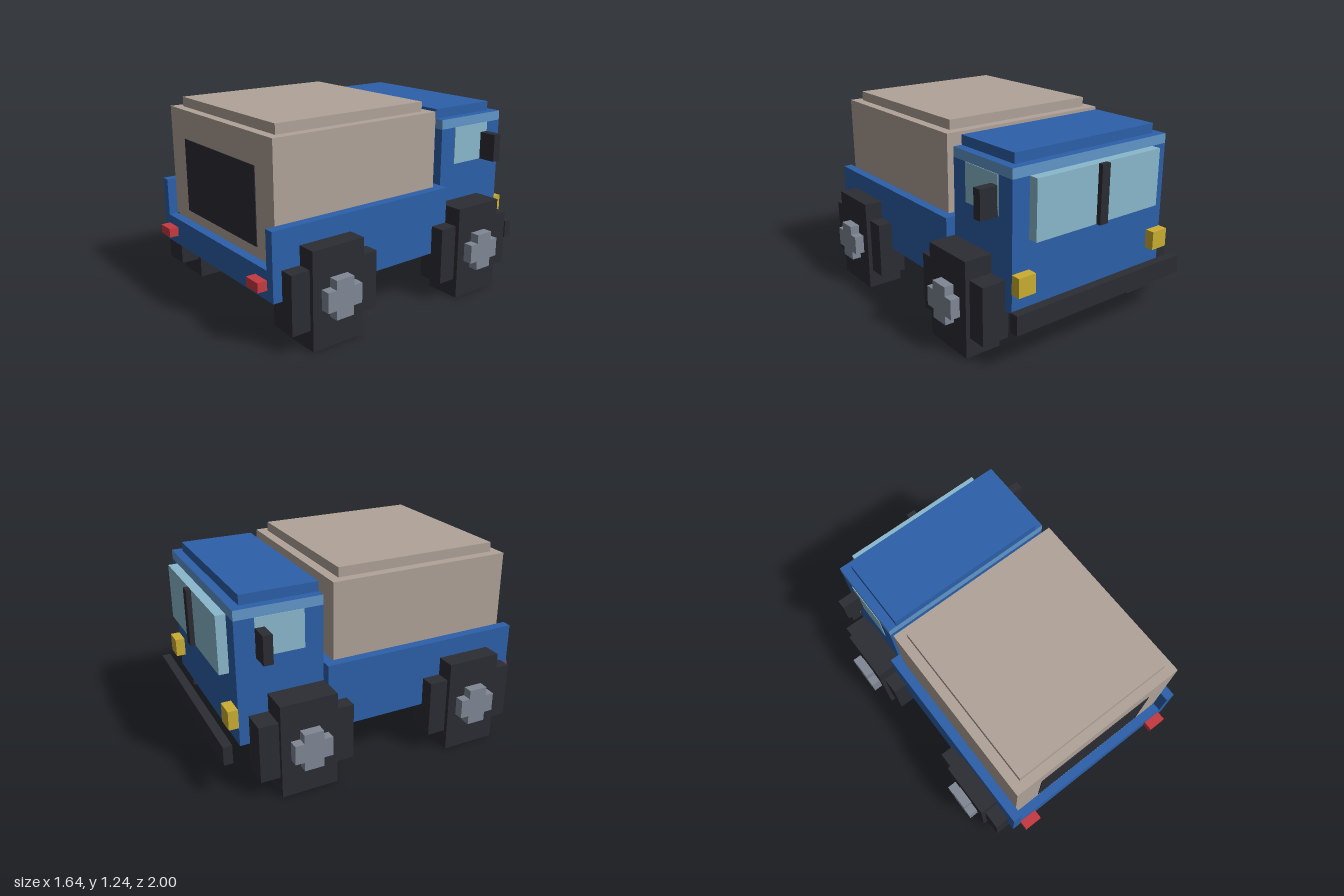
import * as THREE from 'three';

const mat = (name, color) => {
  const m = new THREE.MeshStandardMaterial({ color });
  m.name = name;
  return m;
};

export function createModel() {
  const blue = mat('bodyBlue', 0x2c60a9);
  const paleBlue = mat('trimBlue', 0x6297cb);
  const beige = mat('canopyBeige', 0xb0a399);
  const dark = mat('rubberDark', 0x2c2c34);
  const glass = mat('glass', 0x8ab9cd);
  const grey = mat('hubGrey', 0x808895);
  const yellow = mat('headlightYellow', 0xcbae33);
  const red = mat('tailLightRed', 0xc63a41);

  const model = new THREE.Group();
  model.name = 'truck';

  // Box given by its extents along each axis
  const box = (name, material, [x0, x1], [y0, y1], [z0, z1], parent = model) => {
    const mesh = new THREE.Mesh(new THREE.BoxGeometry(x1 - x0, y1 - y0, z1 - z0), material);
    mesh.position.set((x0 + x1) / 2, (y0 + y1) / 2, (z0 + z1) / 2);
    mesh.name = name;
    parent.add(mesh);
    return mesh;
  };
  const wide = (w) => [-w, w];
  // Same box on both sides of the centre line
  const pair = (name, material, [x0, x1], y, z, parent) => {
    box(name + 'Left', material, [x0, x1], y, z, parent);
    box(name + 'Right', material, [-x1, -x0], y, z, parent);
  };

  // Cargo bed with low tailgate
  box('bedFloor', blue, wide(0.585), [0.295, 0.47], [-0.295, 0.94]);
  pair('bedSide', blue, [0.585, 0.645], [0.295, 0.705], [-0.353, 0.94]);
  box('bedFrontWall', blue, wide(0.585), [0.295, 0.705], [-0.353, -0.295]);

  // Canopy over the bed
  box('canopy', beige, wide(0.585), [0.47, 1.18], [-0.29, 0.882]);
  box('canopyTop', beige, wide(0.525), [1.18, 1.24], [-0.23, 0.825]);
  box('canopyWindow', dark, wide(0.405), [0.535, 1.0], [0.882, 0.887]);

  // Cab with pale trim band and roof
  box('cab', blue, wide(0.585), [0.295, 1.06], [-0.88, -0.353]);
  box('cabTrim', [paleBlue, paleBlue, blue, blue, paleBlue, paleBlue],
    wide(0.585), [1.06, 1.12], [-0.88, -0.353]);
  box('cabRoof', blue, wide(0.528), [1.12, 1.18], [-0.825, -0.353]);
  box('windshield', glass, wide(0.47), [0.705, 1.06], [-0.94, -0.88]);
  box('windshieldDivider', dark, wide(0.03), [0.705, 1.06], [-0.97, -0.94]);
  pair('sideWindow', glass, [0.585, 0.589], [0.825, 1.06], [-0.762, -0.468]);
  pair('mirror', dark, [0.585, 0.705], [0.825, 1.0], [-0.762, -0.705]);

  // Lights and bumper
  pair('headlight', yellow, [0.468, 0.586], [0.413, 0.53], [-0.94, -0.88]);
  pair('tailLight', red, [0.47, 0.588], [0.355, 0.413], [0.94, 1.0]);
  box('bumper', dark, wide(0.645), [0.237, 0.355], [-1.0, -0.945]);

  // Plus-shaped hub outline
  const a = 0.117, b = 0.06;
  const plus = new THREE.Shape([
    [b, -a], [b, -b], [a, -b], [a, b], [b, b], [b, a],
    [-b, a], [-b, b], [-a, b], [-a, -b], [-b, -b], [-b, -a],
  ].map(([x, y]) => new THREE.Vector2(x, y)));
  const hubGeometry = new THREE.ExtrudeGeometry(plus, { depth: 0.06, bevelEnabled: false });

  // Blocky wheels
  for (const [label, z] of [['front', -0.527], ['rear', 0.59]]) {
    const wheels = new THREE.Group();
    wheels.name = label + 'Wheels';
    pair('tyreTall', dark, [0.53, 0.762], [0, 0.59], [z - 0.175, z + 0.175], wheels);
    pair('tyreLong', dark, [0.56, 0.735], [0.12, 0.475], [z - 0.293, z + 0.293], wheels);
    for (const side of [1, -1]) {
      const hub = new THREE.Mesh(hubGeometry, grey);
      hub.name = side > 0 ? 'hubLeft' : 'hubRight';
      hub.rotation.y = side * Math.PI / 2;
      hub.position.set(side * 0.762, 0.297, z);
      wheels.add(hub);
    }
    model.add(wheels);
  }
  return model;
}
